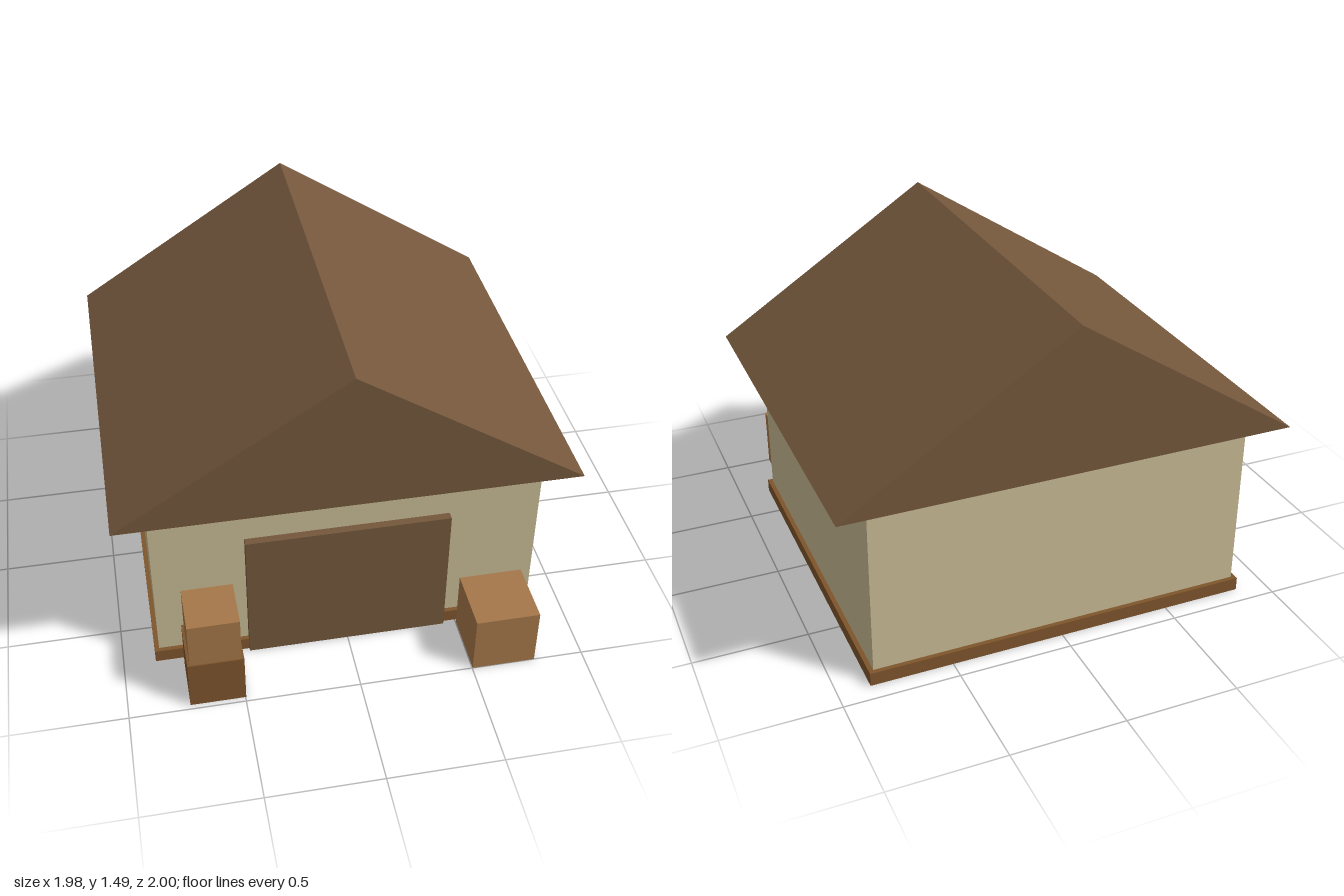
import * as THREE from 'three';

const flat = (name, color) => {
  const m = new THREE.MeshStandardMaterial({ color });
  m.name = name;
  return m;
};

export function createModel() {
  const group = new THREE.Group();
  group.name = 'storageShed';

  const plaster = flat('sandPlaster', 0xc8ba94);
  const brown = flat('roofBrown', 0x74573c);
  const darkWood = flat('darkWood', 0x7e552c);
  const lightWood = flat('lightWood', 0xa67749);

  // Box given by its minimum and maximum corners
  const box = (name, material, [x0, y0, z0], [x1, y1, z1]) => {
    const geometry = new THREE.BoxGeometry(x1 - x0, y1 - y0, z1 - z0);
    const mesh = new THREE.Mesh(geometry, material);
    mesh.position.set((x0 + x1) / 2, (y0 + y1) / 2, (z0 + z1) / 2);
    mesh.name = name;
    group.add(mesh);
  };

  // Building body on its plinth
  box('plinth', darkWood, [-0.86, 0, -0.92], [0.86, 0.06, 0.705]);
  box('walls', plaster, [-0.84, 0.03, -0.9], [0.84, 0.845, 0.685]);
  box('door', brown, [-0.443, 0, 0.66], [0.443, 0.645, 0.72]);

  // Solid gable roof, overhanging every wall
  const gable = new THREE.Shape();
  gable.moveTo(-0.988, 0.845);
  gable.lineTo(0.988, 0.845);
  gable.lineTo(0, 1.485);
  gable.closePath();
  const roof = new THREE.Mesh(
    new THREE.ExtrudeGeometry(gable, { depth: 1.78, bevelEnabled: false }), brown);
  roof.position.z = -1;
  roof.name = 'roof';
  group.add(roof);

  // Crates beside the door
  box('lowerCrate', darkWood, [-0.737, 0, 0.738], [-0.497, 0.24, 0.978]);
  box('upperCrate', lightWood, [-0.727, 0.24, 0.752], [-0.507, 0.46, 0.972]);
  box('singleCrate', lightWood, [0.502, 0, 0.72], [0.782, 0.28, 1]);

  return group;
}
